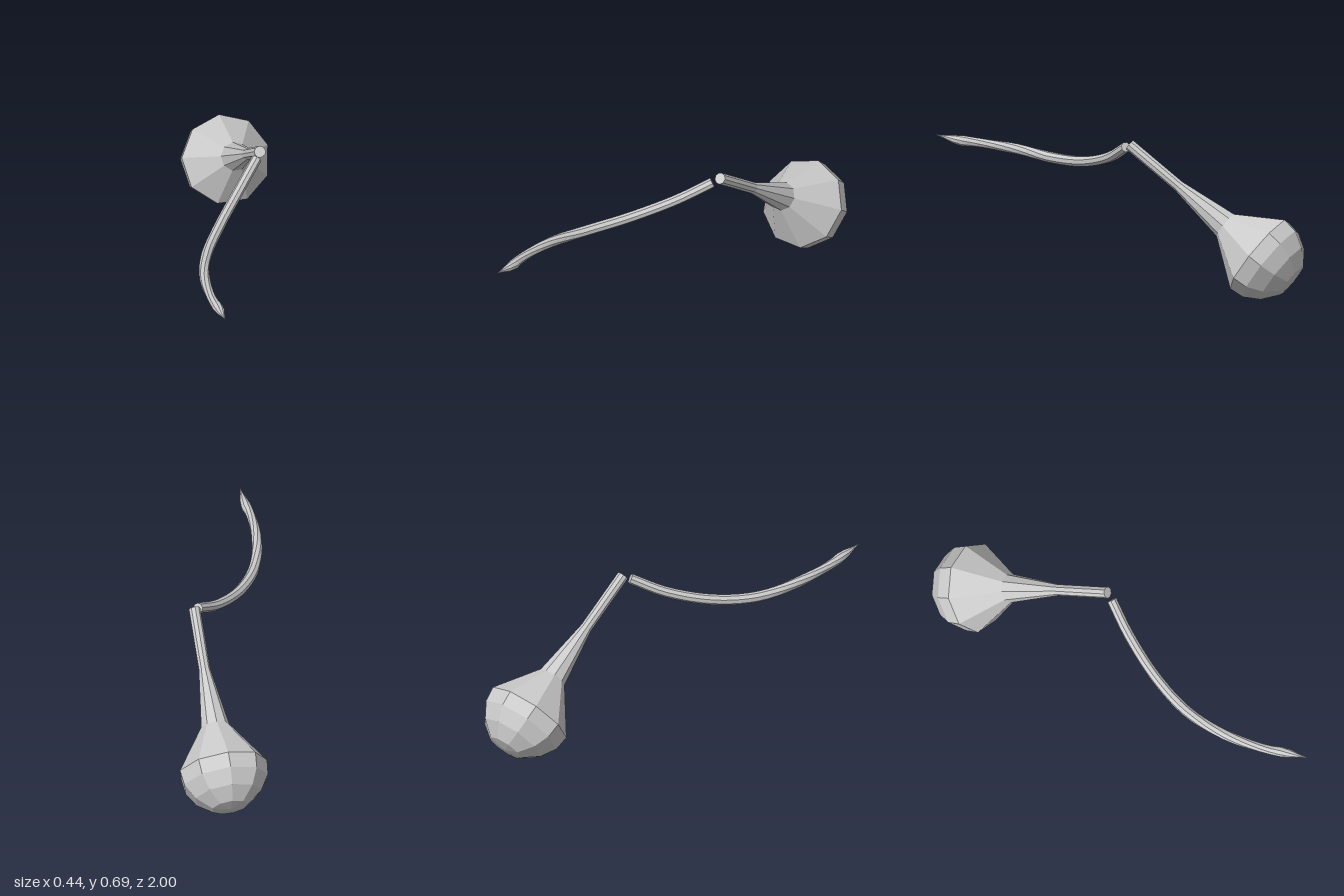
import * as THREE from 'three';

// Skin a row of rings { p: centre, t: direction, r: radius, twist } with flat facets.
function loft(name, rings, sides) {
  const up = new THREE.Vector3(0, 1, 0);
  const loops = rings.map(({ p, t, r, twist = 0 }) => {
    const u = up.clone().addScaledVector(t, -up.dot(t)).normalize();
    const v = new THREE.Vector3().crossVectors(t, u);
    return Array.from({ length: sides }, (_, j) => {
      const a = (j / sides) * Math.PI * 2 + twist;
      return p.clone().addScaledVector(u, r * Math.cos(a)).addScaledVector(v, r * Math.sin(a));
    });
  });
  const pos = [];
  const tri = (...corners) => corners.forEach((c) => pos.push(c.x, c.y, c.z));
  for (let i = 0; i < loops.length - 1; i++) {
    for (let j = 0; j < sides; j++) {
      const k = (j + 1) % sides;
      const [a, b, c, d] = [loops[i][j], loops[i][k], loops[i + 1][j], loops[i + 1][k]];
      if (rings[i].r > 0) tri(a, b, c);
      if (rings[i + 1].r > 0) tri(b, d, c);
    }
  }
  const geo = new THREE.BufferGeometry();
  geo.setAttribute('position', new THREE.Float32BufferAttribute(pos, 3));
  geo.computeVertexNormals();
  const mesh = new THREE.Mesh(geo, new THREE.MeshStandardMaterial({ color: 0xcccccc, flatShading: true }));
  mesh.name = name;
  return mesh;
}

// Nine-sided gourd: thin neck, flared shoulder, rounded bulb
function makeGourd() {
  const axis = new THREE.Vector3(-0.14, -0.6, -0.8).normalize();
  const centre = new THREE.Vector3(0.022, 0.204, -0.795);
  const mouth = new THREE.Vector3(0.123, 0.672, -0.17);
  const rings = [
    [mouth, 0], // closed mouth
    [mouth, 0.027],
    [new THREE.Vector3(0.088, 0.495, -0.41), 0.027],
    [new THREE.Vector3(0.05, 0.328, -0.635), 0.067],
  ];
  // [distance along axis, radius] from the widest ring to the pole
  for (const [s, r] of [[0, 0.208], [0.07, 0.2], [0.14, 0.157], [0.195, 0.085], [0.207, 0]]) {
    rings.push([centre.clone().addScaledVector(axis, s), r]);
  }
  return loft('gourd', rings.map(([p, r]) => ({ p, r, t: axis })), 9);
}

// Curved stem that twists towards a pointed bud
function makeStem() {
  const curve = new THREE.CatmullRomCurve3([
    [0.105, 0.655, -0.14], [0.01, 0.578, 0], [-0.1, 0.519, 0.2], [-0.175, 0.503, 0.4],
    [-0.2, 0.52, 0.6], [-0.182, 0.535, 0.8], [-0.158, 0.541, 0.89], [-0.14, 0.56, 1],
  ].map((p) => new THREE.Vector3(...p)));
  const radii = [[0, 0.024], [0.5, 0.025], [0.7, 0.024], [0.8, 0.021], [0.87, 0.022],
    [0.91, 0.026], [0.945, 0.013], [1, 0]];
  const radiusAt = (s) => {
    const i = Math.max(1, radii.findIndex(([x]) => x >= s));
    const [[x0, r0], [x1, r1]] = [radii[i - 1], radii[i]];
    return r0 + ((r1 - r0) * (s - x0)) / (x1 - x0);
  };
  const steps = 28;
  const rings = [{ p: curve.getPointAt(0), t: curve.getTangentAt(0), r: 0 }];
  for (let i = 0; i <= steps; i++) {
    const s = i / steps;
    rings.push({
      p: curve.getPointAt(s), t: curve.getTangentAt(s), r: radiusAt(s),
      twist: Math.PI / 8 + Math.max(0, s - 0.55) * 4,
    });
  }
  return loft('stem', rings, 8);
}

export function createModel() {
  const model = new THREE.Group();
  model.name = 'gourdAndStem';
  model.add(makeGourd(), makeStem());
  return model;
}
